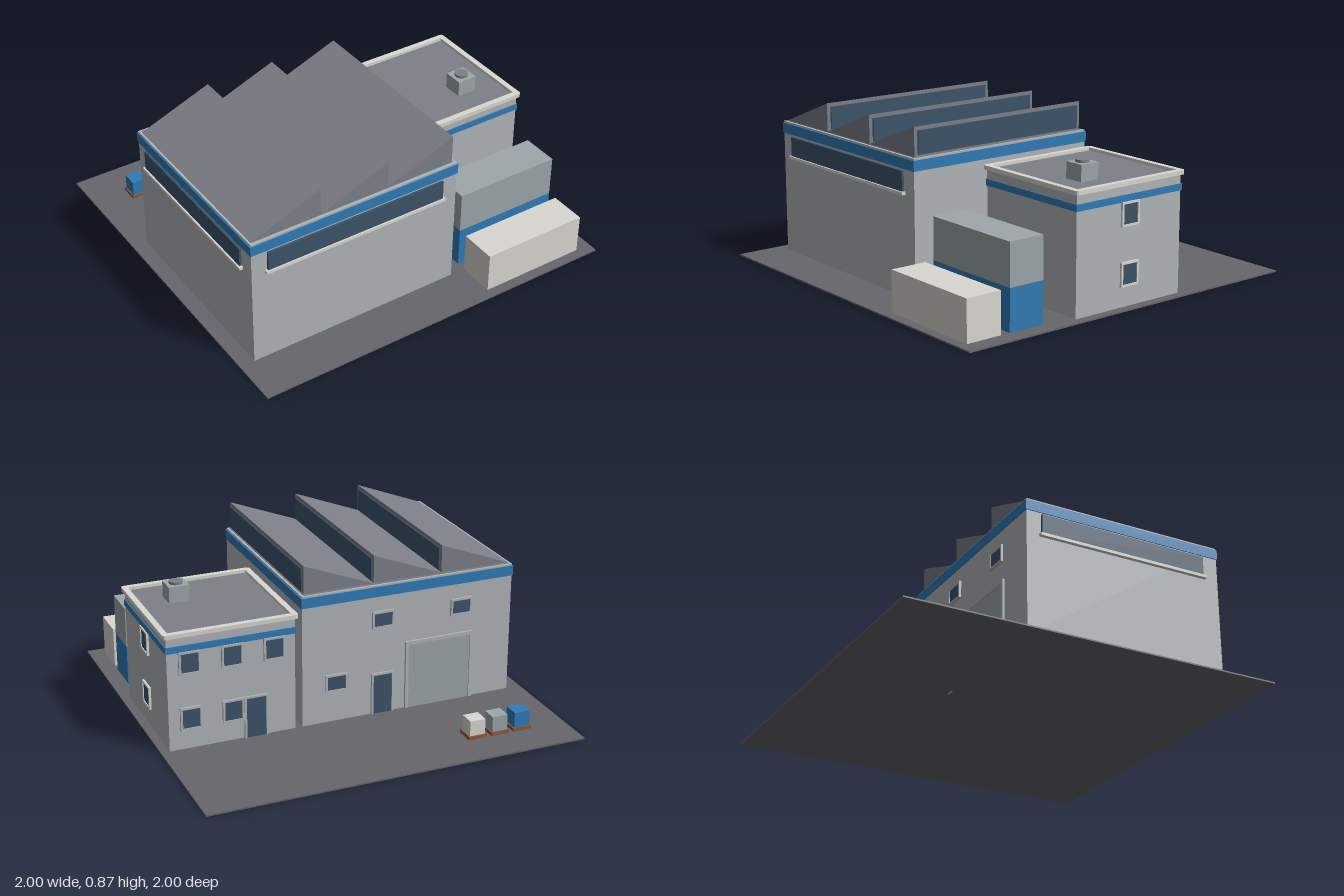
import * as THREE from 'three';

const mat = (color) => new THREE.MeshStandardMaterial({ color });
const M = {
  wall: mat(0xb2b6b9), blue: mat(0x2f7cb8), glass: mat(0x3c546a), cream: mat(0xdad8d1),
  roof: mat(0x7e8089), ground: mat(0x66666c), steel: mat(0x9ea7aa), wood: mat(0x8a5a3c),
};

function add(parent, name, geometry, material) {
  const mesh = new THREE.Mesh(geometry, material);
  mesh.name = name;
  parent.add(mesh);
  return mesh;
}

// Box given by its limits on each axis
function box(parent, name, material, [x0, x1], [y0, y1], [z0, z1]) {
  const m = add(parent, name, new THREE.BoxGeometry(x1 - x0, y1 - y0, z1 - z0), material);
  m.position.set((x0 + x1) / 2, (y0 + y1) / 2, (z0 + z1) / 2);
  return m;
}

function rect(path, x0, x1, y0, y1, r = 0) {
  if (!r) {
    path.moveTo(x0, y0).lineTo(x1, y0).lineTo(x1, y1).lineTo(x0, y1).closePath();
    return path;
  }
  path.moveTo(x0 + r, y0);
  path.absarc(x1 - r, y0 + r, r, -Math.PI / 2, 0);
  path.absarc(x1 - r, y1 - r, r, 0, Math.PI / 2);
  path.absarc(x0 + r, y1 - r, r, Math.PI / 2, Math.PI);
  path.absarc(x0 + r, y0 + r, r, Math.PI, Math.PI * 1.5);
  return path;
}

// Framed panel facing local +z with its back on the wall; doors have no bottom rail
function opening(parent, name, x, y, z, turn, w, h, o = {}) {
  const { panel = M.glass, frame = M.cream, t = 0.011, door = false } = o;
  const g = new THREE.Group();
  g.name = name;
  const shape = rect(new THREE.Shape(), -w / 2, w / 2, -h / 2, h / 2);
  const y0 = -h / 2 + (door ? 0.001 : t);
  shape.holes.push(rect(new THREE.Path(), -w / 2 + t, w / 2 - t, y0, h / 2 - t));
  add(g, name + 'Frame', new THREE.ExtrudeGeometry(shape, { depth: 0.012, bevelEnabled: false }), frame);
  box(g, name + 'Panel', panel, [-w / 2 + t, w / 2 - t], [y0, h / 2 - t], [0, 0.007]);
  g.position.set(x, y, z);
  g.rotation.y = turn;
  parent.add(g);
}

function createHall() {
  const g = new THREE.Group();
  g.name = 'factoryHall';
  box(g, 'hallWalls', M.wall, [-0.92, 0.25], [0.004, 0.715], [-0.335, 0.75]);
  box(g, 'hallBlueBand', M.blue, [-0.925, 0.255], [0.653, 0.706], [-0.34, 0.755]);
  box(g, 'hallRoofDeck', M.roof, [-0.905, 0.236], [0.71, 0.718], [-0.322, 0.735]);

  // Sawtooth roof with glazing on the upright side
  const tooth = new THREE.Shape();
  tooth.moveTo(0, 0).lineTo(0.385, 0).lineTo(0.385, 0.15).closePath();
  const toothGeo = new THREE.ExtrudeGeometry(tooth, { depth: 1.045, bevelEnabled: false });
  for (let i = 0; i < 3; i++) {
    const x = -0.91 + i * 0.378;
    add(g, 'roofTooth', toothGeo, M.roof).position.set(x, 0.716, -0.312);
    box(g, 'roofGlazing', M.glass, [x + 0.384, x + 0.392], [0.727, 0.846], [-0.292, 0.713]);
  }

  // Long strip windows on the front and left-hand end walls
  box(g, 'frontStripWindow', M.glass, [-0.835, 0.165], [0.538, 0.642], [0.74, 0.762]);
  box(g, 'frontWindowSill', M.cream, [-0.848, 0.176], [0.525, 0.54], [0.74, 0.771]);
  box(g, 'sideStripWindow', M.glass, [-0.932, -0.91], [0.538, 0.642], [-0.256, 0.662]);
  box(g, 'sideWindowSill', M.cream, [-0.941, -0.91], [0.525, 0.54], [-0.267, 0.675]);

  // Back wall openings
  const b = -0.335;
  opening(g, 'hallWindow', -0.19, 0.528, b, Math.PI, 0.12, 0.092, { frame: M.wall });
  opening(g, 'hallWindow', -0.63, 0.528, b, Math.PI, 0.12, 0.092, { frame: M.wall });
  opening(g, 'hallWindow', 0.065, 0.222, b, Math.PI, 0.12, 0.096, { frame: M.wall });
  opening(g, 'hallDoor', -0.19, 0.117, b, Math.PI, 0.125, 0.234, { frame: M.wall, door: true });
  opening(g, 'loadingDoor', -0.51, 0.191, b, Math.PI, 0.385, 0.382,
    { panel: M.steel, frame: M.wall, t: 0.018, door: true });
  return g;
}

function createOffice() {
  const g = new THREE.Group();
  g.name = 'officeBlock';
  box(g, 'officeWalls', M.wall, [0.288, 0.955], [0.004, 0.612], [-0.335, 0.335]);
  box(g, 'officeBlueBand', M.blue, [0.283, 0.96], [0.53, 0.564], [-0.34, 0.34]);
  box(g, 'officeRoof', M.roof, [0.3, 0.945], [0.605, 0.617], [-0.325, 0.325]);

  // Parapet coping ring
  const ring = rect(new THREE.Shape(), 0.273, 0.972, -0.35, 0.35, 0.015);
  ring.holes.push(rect(new THREE.Path(), 0.304, 0.941, -0.319, 0.319));
  const coping = new THREE.ExtrudeGeometry(ring, { depth: 0.022, bevelEnabled: false, curveSegments: 4 });
  coping.rotateX(-Math.PI / 2);
  add(g, 'parapetCoping', coping, M.cream).position.y = 0.611;

  // Rooftop ventilation unit
  box(g, 'ventUnit', M.steel, [0.695, 0.803], [0.61, 0.702], [0.067, 0.175]);
  const fan = add(g, 'ventFan', new THREE.CylinderGeometry(0.035, 0.035, 0.014, 24), M.roof);
  fan.position.set(0.749, 0.708, 0.121);

  // End and back windows, plus the back door
  for (const y of [0.172, 0.47]) {
    opening(g, 'officeWindow', 0.955, y, 0, Math.PI / 2, 0.112, 0.122);
    opening(g, 'officeWindow', 0.288, y, 0, -Math.PI / 2, 0.112, 0.122);
    for (const x of [0.84, 0.62, 0.4]) {
      if (x === 0.4 && y < 0.3) continue;
      opening(g, 'officeWindow', x, y, -0.335, Math.PI, 0.112, 0.122, { frame: M.wall });
    }
  }
  opening(g, 'officeDoor', 0.5, 0.117, -0.335, Math.PI, 0.125, 0.234, { frame: M.wall, door: true });
  return g;
}

function createYard() {
  const g = new THREE.Group();
  g.name = 'yard';
  box(g, 'groundSlab', M.ground, [-1, 1], [0, 0.008], [-1, 1]);

  // Shipping containers
  const span = [0.333, 0.914];
  box(g, 'lowerContainer', M.blue, span, [0.008, 0.223], [0.5, 0.7]);
  box(g, 'upperContainer', M.steel, span, [0.223, 0.442], [0.5, 0.7]);
  box(g, 'frontContainer', M.cream, span, [0.008, 0.223], [0.75, 0.948]);

  // Crates on pallets
  [M.blue, M.steel, M.cream].forEach((m, i) => {
    const x = -0.755 + i * 0.125, z = -0.753;
    box(g, 'pallet', M.wood, [x - 0.05, x + 0.05], [0.008, 0.026], [z - 0.05, z + 0.05]);
    box(g, 'crate', m, [x - 0.042, x + 0.042], [0.026, 0.107], [z - 0.042, z + 0.042]);
  });
  return g;
}

export function createModel() {
  const model = new THREE.Group();
  model.name = 'factory';
  model.add(createYard(), createHall(), createOffice());
  return model;
}
